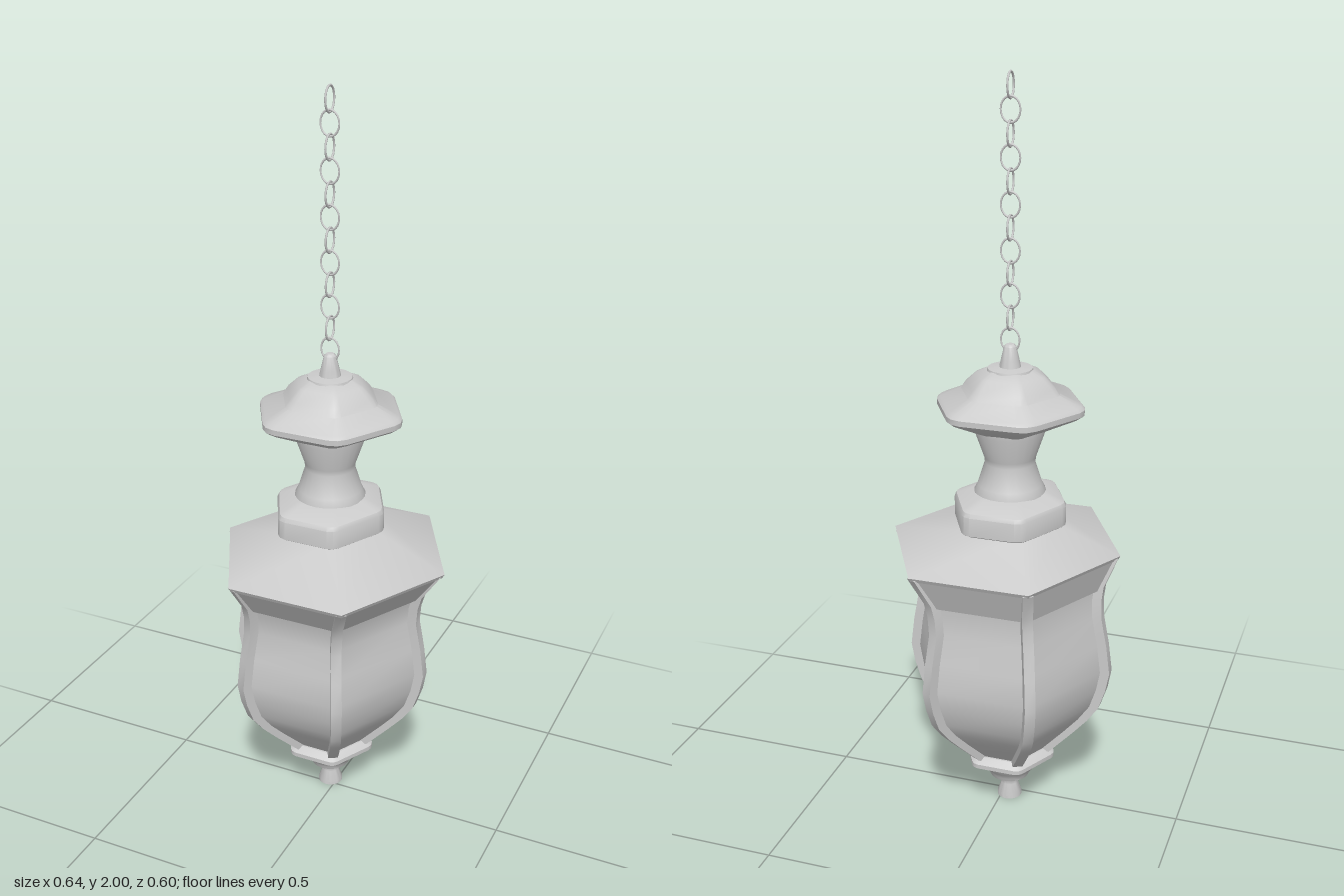
import * as THREE from 'three';
import { toCreasedNormals, mergeGeometries } from 'three/addons/utils/BufferGeometryUtils.js';

const metal = new THREE.MeshStandardMaterial({ color: 0xcccccc });
const AXIS = -0.02; // the lantern hangs a little off the roof's centre
const STRETCH = 1.09; // hexagons are slightly deeper than regular

// Closed skin through rings of points, listed bottom to top
function loft(rings, crease = 0.6) {
  const n = rings[0].length, pos = [];
  const tri = (...p) => p.forEach(v => pos.push(v.x, v.y, v.z));
  for (let i = 0; i < rings.length - 1; i++) {
    for (let j = 0; j < n; j++) {
      const k = (j + 1) % n, lo = rings[i], up = rings[i + 1];
      tri(lo[j], up[j], lo[k]);
      tri(lo[k], up[j], up[k]);
    }
  }
  const middle = r => r.reduce((s, p) => s.add(p), new THREE.Vector3()).divideScalar(n);
  const bottom = rings[0], top = rings[rings.length - 1];
  const cb = middle(bottom), ct = middle(top);
  for (let j = 0; j < n; j++) {
    const k = (j + 1) % n;
    tri(cb, bottom[j], bottom[k]);
    tri(ct, top[k], top[j]);
  }
  const g = new THREE.BufferGeometry();
  g.setAttribute('position', new THREE.Float32BufferAttribute(pos, 3));
  return toCreasedNormals(g, crease);
}

// Hexagonal ring with corners on the x axis; cut rounds each corner
function hexRing(y, r, { stretch = STRETCH, cut = 0, centre = AXIS } = {}) {
  const corner = i => new THREE.Vector3(
    r * Math.cos(i * Math.PI / 3), 0, r * Math.sin(i * Math.PI / 3) * stretch);
  const ring = [];
  for (let i = 0; i < 6; i++) {
    const c = corner(i);
    if (!cut) { ring.push(c); continue; }
    ring.push(c.clone().lerp(corner(i + 5), cut),
      c.clone().multiplyScalar(1 - cut * 0.28),
      c.clone().lerp(corner(i + 1), cut));
  }
  return ring.map(p => p.add(new THREE.Vector3(centre, y, centre)));
}

const hexLoft = (profile, opts) =>
  loft(profile.map(([y, r, centre = AXIS]) => hexRing(y, r, { ...opts, centre })));

// Round turned part from [radius, height] pairs, bottom to top
function turned(profile) {
  const g = new THREE.LatheGeometry(profile.map(([r, y]) => new THREE.Vector2(r, y)), 24);
  return toCreasedNormals(g.translate(AXIS, 0, AXIS), 0.6);
}

// Corner outline of the lantern body: height, radius, centre offset
const BODY = [
  [0.165, 0.118], [0.24, 0.187], [0.285, 0.226], [0.33, 0.257], [0.385, 0.275],
  [0.44, 0.285], [0.52, 0.275], [0.6, 0.26], [0.65, 0.261, -0.016],
  [0.69, 0.269, -0.012], [0.77, 0.312, -0.001],
];

// One bar following the body outline at a corner
function rib(i) {
  const a = i * Math.PI / 3;
  const out = new THREE.Vector3(Math.cos(a), 0, Math.sin(a) * STRETCH).normalize();
  const side = new THREE.Vector3(-out.z, 0, out.x);
  return loft(BODY.map(([y, r, c = AXIS]) => {
    const p = hexRing(y, r, { centre: c })[i];
    return [[0, -0.5], [0, 0.5], [-1, 0.5], [-1, -0.5]].map(([d, w]) =>
      p.clone().addScaledVector(out, d * 0.032).addScaledVector(side, w * 0.028));
  }));
}

export function createModel() {
  const model = new THREE.Group();
  const add = (name, geometry, parent = model) => {
    const mesh = new THREE.Mesh(geometry, metal);
    mesh.name = name;
    parent.add(mesh);
    return mesh;
  };

  // Glass body set in behind the ribs
  add('glassPanes', hexLoft(BODY.slice(0, 10).map(([y, r, c]) => [y, r - 0.018, c])));

  // Six corner ribs
  const ribs = new THREE.Group();
  ribs.name = 'ribs';
  for (let i = 0; i < 6; i++) add('rib', rib(i), ribs);
  model.add(ribs);

  // Sloping band between the glass and the eaves
  add('fascia', hexLoft([[0.678, 0.25, -0.013], [0.678, 0.259, -0.013], [0.77, 0.312, 0]]));

  // Hexagonal roof
  add('roof', hexLoft([[0.765, 0.312, 0], [0.776, 0.318, 0], [0.855, 0.125], [0.865, 0.125]]));

  // Collar block on the roof
  add('collar', hexLoft([[0.85, 0.15], [0.855, 0.158], [0.905, 0.158], [0.915, 0.152], [0.936, 0.1]],
    { stretch: 1.12, cut: 0.12 }));

  // Waisted neck
  add('neck', turned([[0, 0.92], [0.094, 0.92], [0.094, 0.938], [0.085, 0.955],
    [0.066, 1.015], [0.068, 1.03], [0.092, 1.1], [0.092, 1.13], [0, 1.13]]));

  // Domed hexagonal cap with a brim
  add('cap', hexLoft([[1.108, 0.1], [1.152, 0.195], [1.16, 0.206], [1.174, 0.206], [1.182, 0.197],
    [1.207, 0.137], [1.225, 0.124], [1.252, 0.094], [1.266, 0.062]],
    { stretch: 1, cut: 0.14 }));
  add('capFinial', turned([[0, 1.26], [0.06, 1.262], [0.058, 1.269], [0.028, 1.272],
    [0.024, 1.29], [0.016, 1.325], [0.01, 1.331], [0, 1.332]]));

  // Rim, cup and drop under the body
  add('lowerRim', hexLoft([[0.14, 0.122], [0.145, 0.132], [0.157, 0.132], [0.172, 0.112]],
    { cut: 0.1 }));
  add('lowerCup', turned([[0, 0.072], [0.055, 0.072], [0.057, 0.08], [0.072, 0.1],
    [0.09, 0.125], [0.095, 0.142], [0, 0.142]]));
  add('drop', turned([[0, 0], [0.034, 0], [0.034, 0.008], [0.023, 0.04], [0.023, 0.05],
    [0.034, 0.074], [0, 0.074]]));

  // Chain of links turned alternately by a quarter
  const links = [];
  for (let i = 0; i < 12; i++) {
    const link = new THREE.TorusGeometry(0.0285, 0.0028, 6, 20);
    link.scale(0.87, 1.1, 1).rotateY(i % 2 ? Math.PI / 2 : 0);
    links.push(link.translate(AXIS, 1.342 + i * 0.0567, AXIS));
  }
  add('chain', mergeGeometries(links));

  return model;
}
